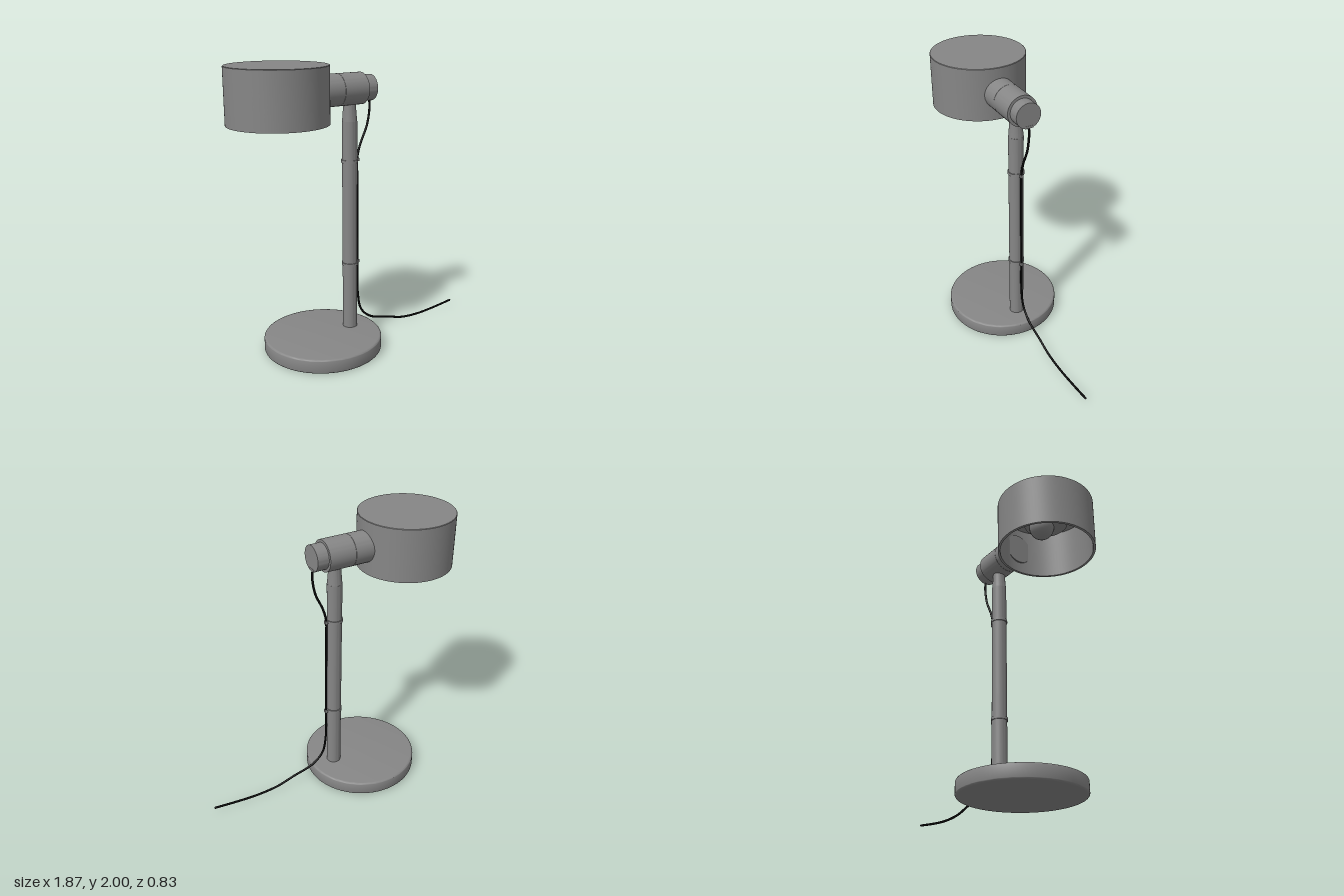
import * as THREE from 'three';
import { toCreasedNormals } from 'three/addons/utils/BufferGeometryUtils.js';

export function createModel() {
  const model = new THREE.Group();
  const grey = new THREE.MeshStandardMaterial({ color: 0x868686 });
  const black = new THREE.MeshStandardMaterial({ color: 0x080808 });

  const add = (name, geometry, x = 0, y = 0, z = 0, material = grey) => {
    const mesh = new THREE.Mesh(geometry, material);
    mesh.name = name;
    mesh.position.set(x, y, z);
    model.add(mesh);
  };
  // Turned solid: profile runs from the bottom axis, outward, and up to the top axis
  const turned = (points, segments = 64) => toCreasedNormals(
    new THREE.LatheGeometry(points.map(([r, y]) => new THREE.Vector2(r, y)), segments), 0.6);
  // Quarter-round edge for a profile, around centre (r, y)
  const rounded = (r, y, radius, from) => Array.from({ length: 7 }, (_, i) => {
    const a = from + (i / 6) * Math.PI / 2;
    return [r + radius * Math.cos(a), y + radius * Math.sin(a)];
  });

  const shadeX = -0.604, postX = -0.055, armY = 1.815, cordX = 0.014, cordZ = -0.005;

  // Heavy round base with softened edges
  add('base', turned([[0, 0], ...rounded(0.4, 0.015, 0.015, -Math.PI / 2),
    ...rounded(0.4, 0.085, 0.015, 0), [0, 0.1]], 96), -0.29);

  // Upright post and its narrowed neck
  add('post', turned([[0, 0.09], [0.052, 0.09], [0.052, 1.6], [0, 1.6]], 48), postX);
  add('neck', turned([[0, 1.6], [0.051, 1.6], [0.043, 1.7], [0.043, 1.76], [0, 1.76]], 48), postX);

  // Horizontal arm: two sleeves meeting at a fine seam, then a smaller end cap
  const arm = turned([[0, -0.3], [0.108, -0.3], [0.108, -0.156], [0.106, -0.155],
    [0.108, -0.154], [0.108, 0.036], [0.089, 0.036], [0.089, 0.117], [0, 0.117]]);
  arm.rotateZ(-Math.PI / 2);
  add('arm', arm, 0, armY);

  // Drum shade, open underneath
  add('shade', turned([[0, 1.985], [0.315, 1.985], [0.315, 1.63], [0.331, 1.63],
    [0.331, 1.997], [0.328, 2], [0, 2]], 96), shadeX);

  // Lamp holder, reflector plate and bulb inside the shade
  add('lampHolder', new THREE.CylinderGeometry(0.06, 0.06, 0.13, 32), shadeX, 1.925);
  add('reflector', new THREE.CylinderGeometry(0.15, 0.15, 0.015, 48), shadeX, 1.858);
  add('bulb', new THREE.SphereGeometry(0.085, 32, 20), -0.56, 1.845);

  // Cord clips: a band around the post and a small eye around the cord
  const ring = (outer, inner, height) => {
    const shape = new THREE.Shape().absarc(0, 0, outer, 0, Math.PI * 2);
    shape.holes.push(new THREE.Path().absarc(0, 0, inner, 0, Math.PI * 2, true));
    const g = new THREE.ExtrudeGeometry(shape, { depth: height, bevelEnabled: false, curveSegments: 32 });
    g.translate(0, 0, -height / 2);
    g.rotateX(-Math.PI / 2);
    return toCreasedNormals(g, 0.6);
  };
  for (const y of [0.58, 1.325]) {
    add('clipBand', ring(0.058, 0.05, 0.02), postX, y);
    add('clipEye', ring(0.014, 0.007, 0.02), cordX, y, cordZ);
  }

  // Cord from the arm's end cap, along the post and away over the table
  const path = new THREE.CatmullRomCurve3([
    [0.106, 1.76], [0.115, 1.69], [0.094, 1.56], [0.037, 1.43], [0.013, 1.34], [0.012, 1.2],
    [0.013, 0.9], [0.014, 0.6], [0.017, 0.34], [0.046, 0.2], [0.13, 0.118], [0.3, 0.067],
    [0.43, 0.029], [0.59, 0.017], [0.75, 0.026], [0.928, 0.045],
  ].map(([x, y]) => new THREE.Vector3(x, y, cordZ)));
  add('cord', new THREE.TubeGeometry(path, 160, 0.008, 10), 0, 0, 0, black);
  add('cordTip', new THREE.SphereGeometry(0.008, 10, 8), 0.928, 0.045, cordZ, black);

  // Small cord grip at the underside of the end cap
  add('cordGrip', new THREE.BoxGeometry(0.02, 0.016, 0.055), 0.109, 1.738, cordZ);

  return model;
}
